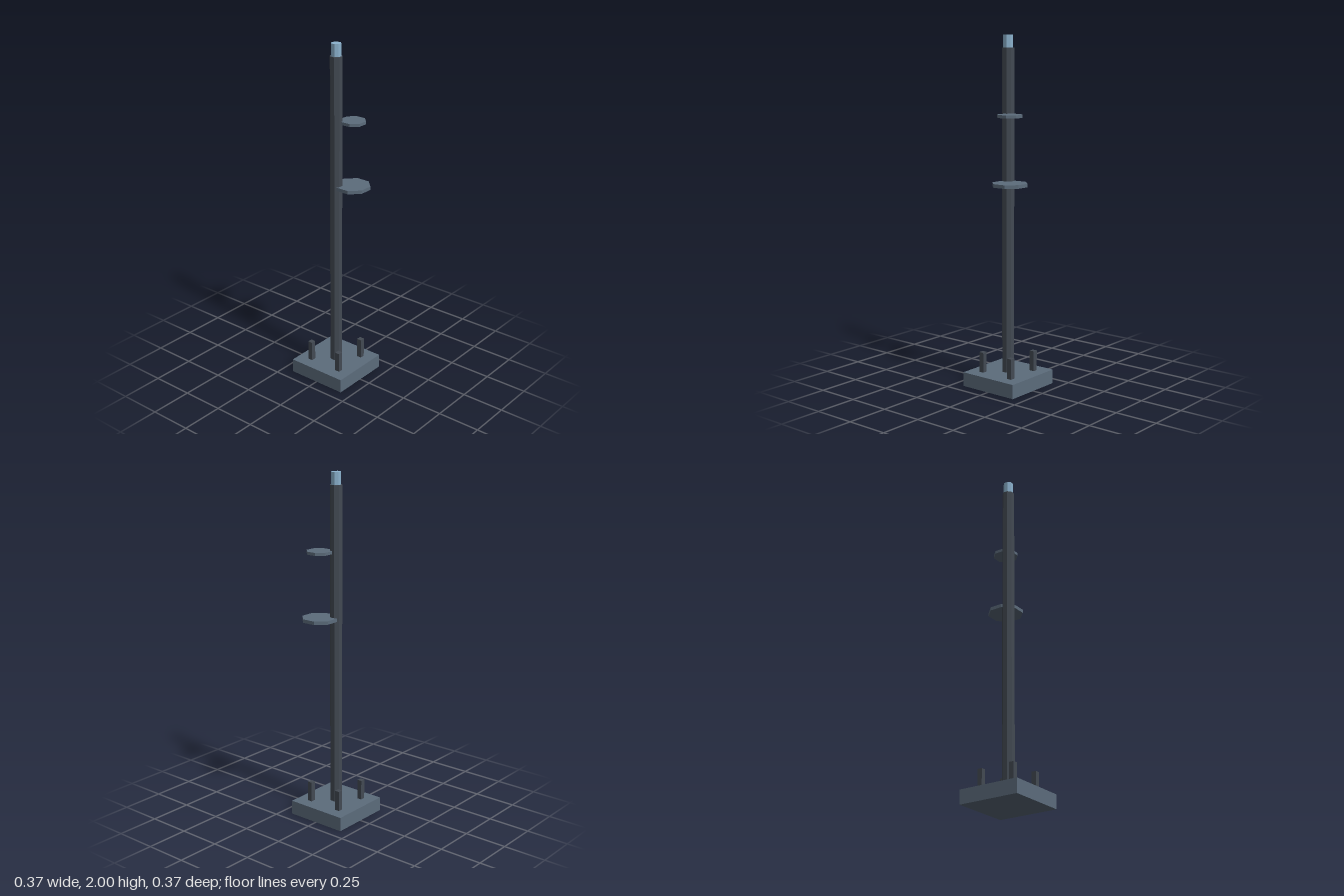
import * as THREE from 'three';

export function createModel() {
  const group = new THREE.Group();
  const paint = (name, color) => {
    const m = new THREE.MeshStandardMaterial({ color, flatShading: true });
    m.name = name;
    return m;
  };
  const slate = paint('slate', 0x5c6c7c);
  const charcoal = paint('charcoal', 0x434a53);
  const paleBlue = paint('pale blue', 0x8bb2ce);

  const add = (name, geometry, material, x, y, z) => {
    const mesh = new THREE.Mesh(geometry, material);
    mesh.name = name;
    mesh.position.set(x, y, z);
    group.add(mesh);
  };

  // Upright octagonal prism with flats facing the axes, standing from y0 to y1
  const octagon = (name, flatRadius, y0, y1, material, x = 0, z = 0) => {
    const geometry = new THREE.CylinderGeometry(1, 1, y1 - y0, 8);
    const r = flatRadius / Math.cos(Math.PI / 8);
    geometry.rotateY(Math.PI / 8).scale(r, 1, r);
    add(name, geometry, material, x, (y0 + y1) / 2, z);
  };

  // Square foot
  add('base', new THREE.BoxGeometry(0.367, 0.082, 0.367), slate, 0, 0.041, 0);

  // Four anchor posts
  for (const x of [-0.103, 0.103]) {
    for (const z of [-0.103, 0.103]) {
      add('anchorPost', new THREE.BoxGeometry(0.029, 0.13, 0.029), charcoal, x, 0.135, z);
    }
  }

  // Mast and its tip
  octagon('mast', 0.033, 0.07, 1.93, charcoal);
  octagon('mastTip', 0.0265, 1.92, 2, paleBlue);

  // Offset discs
  octagon('lowerDisc', 0.094, 1.171, 1.191, slate, 0.066, 0.066);
  octagon('upperDisc', 0.067, 1.552, 1.569, slate, 0.066, 0.066);

  return group;
}
